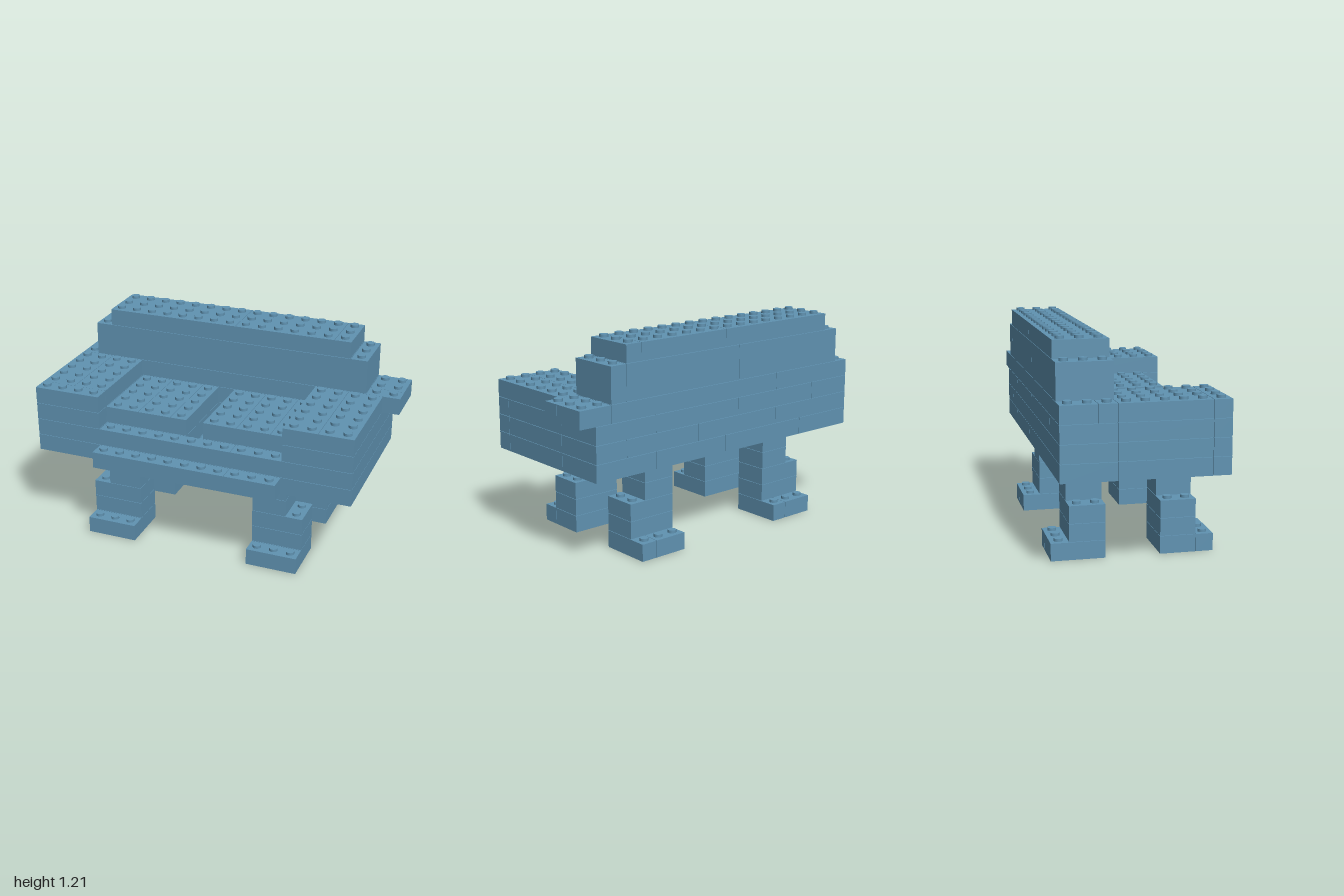
import * as THREE from 'three';
import { mergeGeometries } from 'three/addons/utils/BufferGeometryUtils.js';

const U = 0.1;        // one stud pitch, also one brick layer
const GAP = 0.0012;   // seam around each brick
const STUD_R = 0.024, STUD_H = 0.016;

export function createModel() {
  const blue = new THREE.MeshStandardMaterial({ color: 0x6093b2 });
  blue.name = 'brick blue';

  // All bricks are laid out in whole stud units
  const bricks = [];
  const brick = (part, x0, x1, y0, y1, z0, z1) => bricks.push({ part, x0, x1, y0, y1, z0, z1 });

  // A course of bricks side by side, cut at the given x positions
  const course = (part, y0, y1, z0, z1, cuts) => {
    for (let i = 0; i + 1 < cuts.length; i++) brick(part, cuts[i], cuts[i + 1], y0, y1, z0, z1);
  };

  // Legs: stepped outwards, with a foot reaching to the front or back
  for (const [side, inner, outer] of [['right', -4, -7], ['left', 3, 6]]) {
    const step = outer - Math.sign(outer);
    const wide = [Math.min(inner, outer), Math.max(inner, outer)];
    const slim = [Math.min(inner, step), Math.max(inner, step)];
    const front = side + 'FrontLeg', back = side + 'BackLeg';
    course(front, 0, 1, 1, 3, wide);
    course(front, 0, 1, 3, 4, wide);
    course(back, 0, 1, -5, -2, [wide[0], wide[1] - 1, wide[1]]);
    for (const [part, z0, z1] of [[front, 1, 3], [back, -4, -2]]) {
      for (const y of [1, 2]) course(part, y, y + 1, z0, z1, wide);
      for (const y of [3, 4]) course(part, y, y + 1, z0, z1, slim);
    }
  }

  // Base with a front ledge
  course('frontLedge', 5, 6, 4, 5, [-6, 2, 5]);
  course('base', 5, 6, 3, 4, [-10, -6, 2, 6, 9]);
  course('base', 5, 6, -2, 3, [-10, -8, -6, -4, -2, -1]);
  for (const [z0, z1] of [[-2, -1], [-1, 1], [1, 3]]) brick('base', -1, 0, 5, 6, z0, z1);
  course('base', 5, 6, -2, 3, [0, 2, 4, 6, 9]);
  course('base', 5, 6, -5, -2, [-10, -6, 0, 5, 9]);

  // Seat: front edge and two cushions with a channel between them
  course('seatFront', 6, 7, 3, 4, [-6, 2, 5]);
  for (const y of [6, 7]) {
    course('rightCushion', y, y + 1, -2, 3, [-6, -4, -2, -1]);
    course('leftCushion', y, y + 1, -2, 3, [0, 2, 4, 5]);
  }

  // Arms
  for (const y of [6, 7]) {
    for (const [z0, z1] of [[-2, 3], [3, 4]]) {
      course('rightArm', y, y + 1, z0, z1, [-10, -6]);
      course('leftArm', y, y + 1, z0, z1, y === 6 ? [5, 6, 7, 9] : [5, 9]);
    }
  }
  course('rightArm', 8, 9, -2, 3, [-10, -8, -6]);
  course('rightArm', 8, 9, 3, 4, [-10, -6]);
  course('leftArm', 8, 9, -2, 4, [5, 7, 9]);

  // Backrest, narrowing towards the top
  course('backrest', 6, 7, -5, -2, [-10, -4, 2, 7, 9]);
  course('backrest', 7, 8, -5, -2, [-10, -7, -1, 5, 9]);
  course('backrest', 8, 9, -5, -3, [-10, -4, 2, 8, 10]);
  course('backrest', 8, 9, -3, -2, [-10, -4, 2, 8, 10]);
  course('backrest', 9, 11, -5, -2, [-9, -1, 7, 8]);
  course('backrest', 11, 12, -5, -2, [-8, 0, 6, 7]);

  // A stud shows wherever no brick sits on top
  const covered = (x, y, z) => bricks.some(b =>
    b.y0 === y && x > b.x0 && x < b.x1 && z > b.z0 && z < b.z1);

  const model = new THREE.Group();
  model.name = 'brickSofa';
  const parts = {};
  for (const b of bricks) {
    if (!parts[b.part]) {
      const group = new THREE.Group();
      group.name = b.part;
      model.add(group);
      parts[b.part] = { group, studs: [] };
    }
    const { group, studs } = parts[b.part];
    const size = (a, c) => (c - a) * U - 2 * GAP;
    const mesh = new THREE.Mesh(
      new THREE.BoxGeometry(size(b.x0, b.x1), size(b.y0, b.y1), size(b.z0, b.z1)), blue);
    mesh.name = b.part + 'Brick';
    mesh.position.set((b.x0 + b.x1) * U / 2, (b.y0 + b.y1) * U / 2, (b.z0 + b.z1) * U / 2);
    group.add(mesh);

    for (let x = b.x0 + 0.5; x < b.x1; x++) {
      for (let z = b.z0 + 0.5; z < b.z1; z++) {
        if (covered(x, b.y1, z)) continue;
        studs.push(new THREE.CylinderGeometry(STUD_R, STUD_R, STUD_H, 20)
          .translate(x * U, b.y1 * U - GAP + STUD_H / 2, z * U));
      }
    }
  }

  // Studs of each part
  for (const [name, { group, studs }] of Object.entries(parts)) {
    if (!studs.length) continue;
    const mesh = new THREE.Mesh(mergeGeometries(studs), blue);
    mesh.name = name + 'Studs';
    group.add(mesh);
  }
  return model;
}
